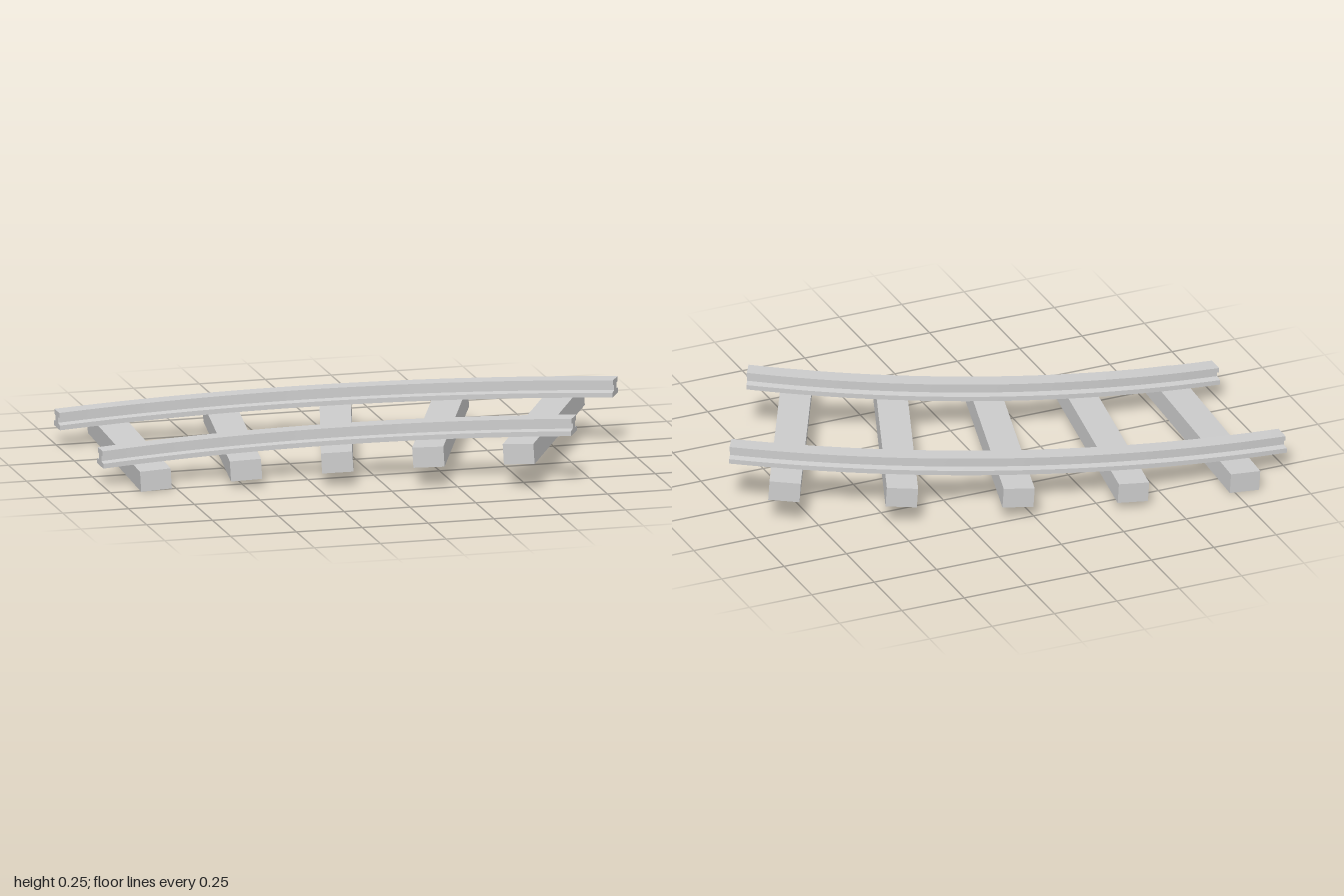
import * as THREE from 'three';
import { toCreasedNormals } from 'three/addons/utils/BufferGeometryUtils.js';

const CENTRE_X = -1, CENTRE_Z = 3.46;   // centre of the curve
const SWEEP = Math.PI / 6;              // total turn
const BASE = 0.068, RISE = 0.12;        // height of the rail foot along the climb
const MID_RADIUS = 3.65, HALF_GAUGE = 0.3;

// Point on the climbing curve: t runs 0..1 along the track
function trackPoint(radius, t, height) {
  const a = t * SWEEP;
  return new THREE.Vector3(
    CENTRE_X + radius * Math.sin(a),
    BASE + RISE * t + height,
    CENTRE_Z - radius * Math.cos(a)
  );
}

// I-shaped rail section: foot, web and head
function railShape() {
  const half = [[0.043, 0], [0.043, 0.018], [0.016, 0.022], [0.016, 0.042], [0.033, 0.045], [0.033, 0.063]];
  const mirrored = half.map(([x, y]) => [-x, y]).reverse();
  return new THREE.Shape([...half, ...mirrored].map(([x, y]) => new THREE.Vector2(x, y)));
}

// Straight extrusion bent along the curve
function railGeometry(radius) {
  const geo = new THREE.ExtrudeGeometry(railShape(), { depth: 1, steps: 40, bevelEnabled: false });
  const pos = geo.attributes.position;
  for (let i = 0; i < pos.count; i++) {
    const p = trackPoint(radius + pos.getX(i), pos.getZ(i), pos.getY(i));
    pos.setXYZ(i, p.x, p.y, p.z);
  }
  return toCreasedNormals(geo, 0.15);
}

export function createModel() {
  const group = new THREE.Group();
  group.name = 'curvedTrack';
  const grey = new THREE.MeshStandardMaterial({ name: 'lightGrey', color: 0xcccccc });

  // Rails
  for (const [name, side] of [['outerRail', 1], ['innerRail', -1]]) {
    const rail = new THREE.Mesh(railGeometry(MID_RADIUS + side * HALF_GAUGE), grey);
    rail.name = name;
    group.add(rail);
  }

  // Sleepers, turned with the curve and pitched with the climb
  const height = 0.076;
  const sleeperGeo = new THREE.BoxGeometry(0.115, height, 0.912);
  const pitch = Math.atan(RISE / (MID_RADIUS * SWEEP));
  for (let i = 0; i < 5; i++) {
    const t = (i + 0.5) / 5;
    const sleeper = new THREE.Mesh(sleeperGeo, grey);
    sleeper.name = `sleeper${i + 1}`;
    sleeper.position.copy(trackPoint(MID_RADIUS, t, -height / 2));
    sleeper.rotation.set(0, -t * SWEEP, pitch, 'YXZ');
    group.add(sleeper);
  }
  return group;
}
